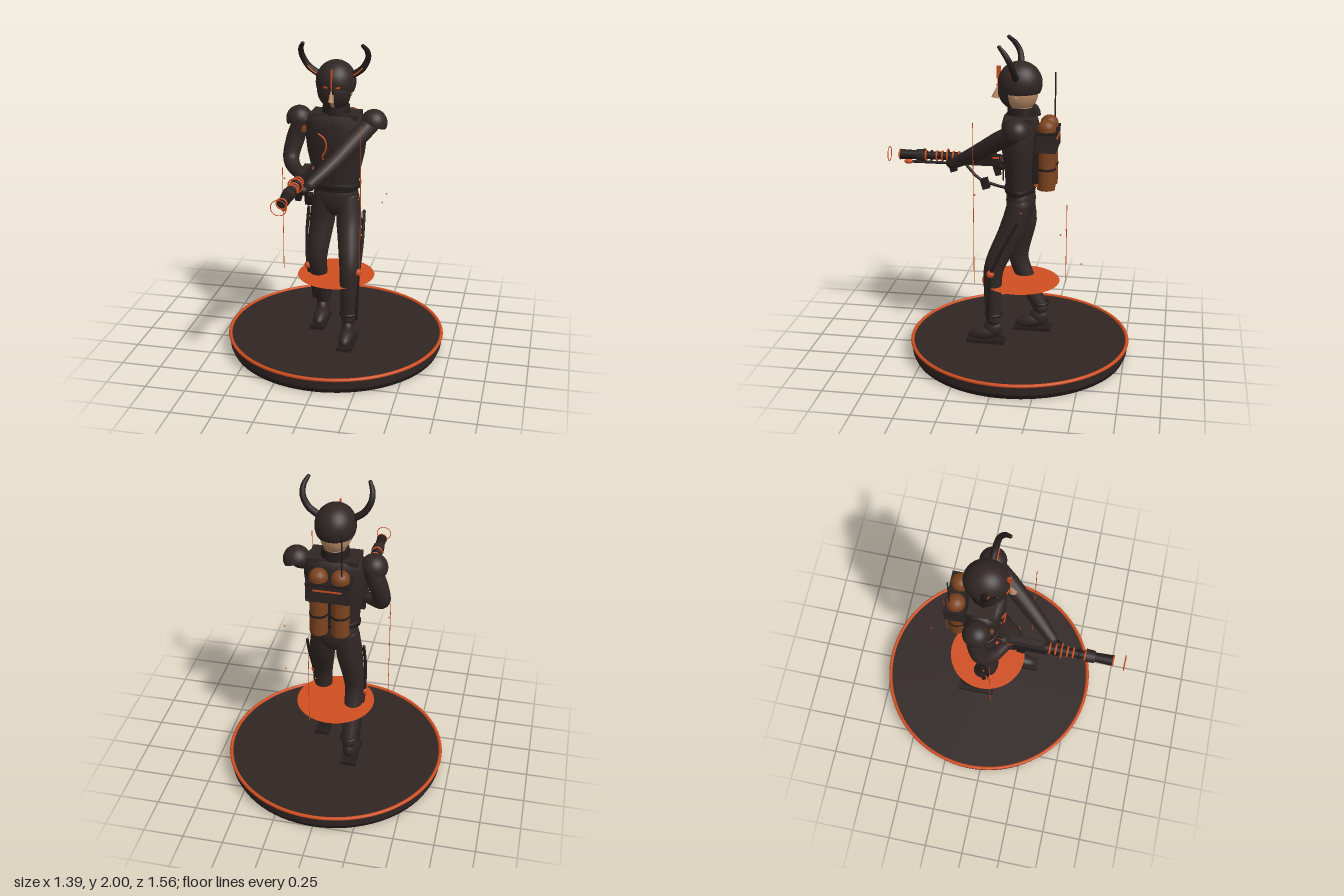
import * as THREE from 'three';

const mat = (name, color, side = THREE.FrontSide) => {
  const m = new THREE.MeshStandardMaterial({ color, side });
  m.name = name;
  return m;
};

export function createModel() {
  const dark = mat('charcoal suit', 0x302624);
  const metal = mat('black metal', 0x241d1c);
  const orange = mat('ember orange', 0xd04e20, THREE.DoubleSide);
  const brown = mat('tank copper', 0x7c431f);
  const skin = mat('skin', 0xba8a66);
  const darkShell = mat('charcoal shell', 0x302624, THREE.DoubleSide);
  const root = new THREE.Group();
  root.name = 'armouredTrooper';

  const V = (p) => new THREE.Vector3(p[0], p[1], p[2]);
  const add = (name, geo, m, p = [0, 0, 0], r = [0, 0, 0], s = [1, 1, 1], parent = root) => {
    const mesh = new THREE.Mesh(geo, m);
    mesh.name = name;
    mesh.position.set(...p);
    mesh.rotation.set(...r);
    mesh.scale.set(...s);
    parent.add(mesh);
    return mesh;
  };
  const box = (name, m, size, p, r, parent) => add(name, new THREE.BoxGeometry(...size), m, p, r, [1, 1, 1], parent);
  const ball = (name, m, s, p, r, parent) => add(name, new THREE.SphereGeometry(1, 24, 16), m, p, r, s, parent);
  // Cylinder along z, from z0 (radius r0) to z1 (radius r1)
  const barrel = (name, m, z0, z1, r0, r1, parent, y = 0, x = 0) =>
    add(name, new THREE.CylinderGeometry(r1, r0, z1 - z0, 20), m, [x, y, (z0 + z1) / 2], [Math.PI / 2, 0, 0], [1, 1, 1], parent);
  // Smooth limb through points [x, y, z, radius], closed with round ends
  const limb = (name, m, pts, segs = 28, sides = 16) => {
    const g = new THREE.Group();
    g.name = name;
    const curve = new THREE.CatmullRomCurve3(pts.map(V));
    const geo = new THREE.TubeGeometry(curve, segs, 1, sides, false);
    const pos = geo.attributes.position, v = new THREE.Vector3();
    for (let i = 0; i <= segs; i++) {
      const c = curve.getPointAt(i / segs);
      const k = curve.getUtoTmapping(i / segs) * (pts.length - 1);
      const a = Math.min(Math.floor(k), pts.length - 2);
      const rad = THREE.MathUtils.lerp(pts[a][3], pts[a + 1][3], k - a);
      for (let j = 0; j <= sides; j++) {
        const n = i * (sides + 1) + j;
        v.fromBufferAttribute(pos, n).sub(c).multiplyScalar(rad).add(c);
        pos.setXYZ(n, v.x, v.y, v.z);
      }
    }
    add(name + 'Sleeve', geo, m, [0, 0, 0], [0, 0, 0], [1, 1, 1], g);
    for (const p of [pts[0], pts[pts.length - 1]])
      add(name + 'End', new THREE.SphereGeometry(p[3], 14, 10), m, p.slice(0, 3), [0, 0, 0], [1, 1, 1], g);
    root.add(g);
    return g;
  };
  const lathe = (name, m, prof, p, s) =>
    add(name, new THREE.LatheGeometry(prof.map((q) => new THREE.Vector2(...q)), 48), m, p, [0, 0, 0], s);

  // Display base with glowing rim, and the floating disc
  add('base', new THREE.CylinderGeometry(0.69, 0.685, 0.06, 80), dark, [0, 0.06, -0.08]);
  add('baseFoot', new THREE.CylinderGeometry(0.685, 0.672, 0.03, 80), metal, [0, 0.015, -0.08]);
  add('baseRim', new THREE.TorusGeometry(0.685, 0.011, 10, 96), orange, [0, 0.091, -0.08], [Math.PI / 2, 0, 0]);
  add('glowDisc', new THREE.CircleGeometry(0.245, 48), orange, [0, 0.48, -0.085], [-Math.PI / 2, 0, 0]);

  // Legs: the left strides forward
  const legs = [
    { s: 1, name: 'left', foot: 0, knee: 0.575,
      path: [[1.0, -0.085, 0.075, 0.075], [0.86, -0.05, 0.09, 0.082], [0.6, 0.065, 0.115, 0.062], [0.45, 0.075, 0.115, 0.056], [0.25, 0.07, 0.112, 0.048]] },
    { s: -1, name: 'right', foot: -0.265, knee: 0.545,
      path: [[1.0, -0.085, 0.075, 0.075], [0.86, -0.09, 0.09, 0.082], [0.6, -0.055, 0.115, 0.062], [0.45, -0.105, 0.115, 0.056], [0.25, -0.2, 0.112, 0.048]] },
  ];
  for (const { s, name, foot, knee, path } of legs) {
    limb(name + 'Leg', dark, path.map(([y, z, x, r]) => [s * x, y, z, r]));
    const kz = path[2][1] + 0.015, az = path[4][1];
    limb(name + 'ThighRod', metal, [[s * 0.178, 0.92, -0.09, 0.01], [s * 0.185, 0.75, (kz - 0.08) / 2, 0.01], [s * 0.178, knee, kz, 0.01]], 12, 8);
    limb(name + 'ShinRod', metal, [[s * 0.178, knee, kz, 0.01], [s * 0.172, 0.42, (kz + az) / 2 + 0.01, 0.01], [s * 0.168, 0.26, az + 0.02, 0.01]], 12, 8);
    ball(name + 'KneeJoint', orange, [0.022, 0.024, 0.024], [s * 0.174, knee, kz]);
    add(name + 'AnkleCuff', new THREE.TorusGeometry(0.049, 0.01, 8, 28), metal, [s * 0.112, 0.285, az], [Math.PI / 2, 0, 0]);
    // Boot
    ball(name + 'BootAnkle', dark, [0.042, 0.062, 0.06], [s * 0.112, 0.185, 0.075 + foot]);
    ball(name + 'BootToe', dark, [0.046, 0.045, 0.105], [s * 0.112, 0.153, 0.125 + foot], [0.2, 0, 0]);
    box(name + 'Sole', metal, [0.095, 0.022, 0.24], [s * 0.117, 0.107, 0.12 + foot]);
  }

  // Torso
  ball('hips', dark, [0.143, 0.14, 0.09], [0, 1.02, -0.085]);
  lathe('torso', dark, [[0, 1.04], [0.13, 1.045], [0.145, 1.1], [0.155, 1.2], [0.178, 1.3], [0.19, 1.4], [0.188, 1.49], [0.165, 1.545], [0, 1.553]], [0, 0, -0.08], [1, 1, 0.6]);
  lathe('belt', metal, [[0.135, 1.075], [0.153, 1.08], [0.156, 1.105], [0.145, 1.11]], [0, 0, -0.08], [1, 1, 0.61]);
  box('shoulderYoke', dark, [0.3, 0.03, 0.16], [0, 1.54, -0.085]);
  add('collar', new THREE.CylinderGeometry(0.082, 0.092, 0.1, 32), metal, [0, 1.55, -0.085]);
  box('chestSeam', metal, [0.008, 0.38, 0.008], [0, 1.32, 0.027]);
  limb('chestHose', orange, [[-0.085, 1.44, 0.03, 0.005], [-0.045, 1.41, 0.04, 0.005], [-0.035, 1.36, 0.04, 0.005], [-0.06, 1.3, 0.035, 0.005]], 16, 8);
  for (const x of [-0.06, 0.03, 0.07]) box('chestLamp', orange, [0.014, 0.008, 0.008], [x, 1.28, 0.018]);

  // Arms and dome shoulder pads
  limb('leftArm', dark, [[0.215, 1.49, -0.08, 0.055], [0.145, 1.42, 0.03, 0.057], [0.03, 1.3, 0.2, 0.048], [-0.07, 1.215, 0.33, 0.036]]);
  limb('rightArm', dark, [[-0.215, 1.49, -0.09, 0.055], [-0.258, 1.37, -0.085, 0.058], [-0.278, 1.25, -0.05, 0.05], [-0.235, 1.2, 0.01, 0.043], [-0.165, 1.185, 0.06, 0.034]]);
  ball('leftHand', metal, [0.036, 0.032, 0.045], [-0.1, 1.195, 0.36]);
  ball('rightHand', metal, [0.034, 0.036, 0.04], [-0.15, 1.185, 0.075]);
  for (const s of [-1, 1]) {
    add('shoulderPad', new THREE.SphereGeometry(0.082, 32, 14, 0, Math.PI * 2, 0, Math.PI / 2), darkShell, [s * 0.232, 1.497, -0.09], [0, 0, -s * 0.42]);
    box('shoulderTag', brown, [0.02, 0.03, 0.06], [s * 0.187, 1.45, -0.03]);
  }

  // Head: skin under a helmet with a faceplate split at the nose
  ball('head', skin, [0.096, 0.125, 0.112], [0, 1.695, -0.075]);
  add('neck', new THREE.CylinderGeometry(0.06, 0.065, 0.12, 24), skin, [0, 1.6, -0.09]);
  add('helmet', new THREE.SphereGeometry(1, 40, 24, 0, Math.PI * 2, 0, Math.PI * 0.64), darkShell, [0, 1.745, -0.077], [0, 0, 0], [0.122, 0.131, 0.134]);
  for (const s of [-1, 1]) {
    // phi of PI / 2 points forward
    const start = s > 0 ? Math.PI / 2 + 0.13 : Math.PI / 2 - 1.13;
    add('cheekGuard', new THREE.SphereGeometry(1, 14, 18, start, 1.0, Math.PI * 0.3, Math.PI * 0.58), darkShell, [0, 1.7, -0.077], [0, 0, 0], [0.115, 0.125, 0.134]);
    box('eye', orange, [0.028, 0.009, 0.008], [s * 0.038, 1.735, 0.053], [0, s * 0.3, 0]);
    add('ear', new THREE.TorusGeometry(0.02, 0.005, 8, 18), skin, [s * 0.094, 1.685, -0.075], [0, Math.PI / 2, 0]);
    limb('horn', metal, [[s * 0.105, 1.79, -0.065, 0.021], [s * 0.165, 1.835, -0.06, 0.02], [s * 0.2, 1.9, -0.045, 0.018], [s * 0.2, 1.95, -0.015, 0.016], [s * 0.18, 1.987, 0.02, 0.011]], 24, 12);
    limb('hornStripe', orange, [[s * 0.115, 1.795, -0.043, 0.005], [s * 0.14, 1.812, -0.041, 0.005], [s * 0.167, 1.838, -0.039, 0.004]], 8, 8);
  }
  add('nose', new THREE.ConeGeometry(0.018, 0.08, 12), skin, [0, 1.69, 0.066], [-0.2, 0, 0], [1, 1, 1.3]);
  box('crest', orange, [0.008, 0.075, 0.026], [0, 1.805, 0.053]);
  box('crestLine', orange, [0.007, 0.05, 0.008], [0, 1.755, 0.056]);

  // Backpack with two tanks and an aerial
  box('packFrame', metal, [0.2, 0.3, 0.04], [0, 1.3, -0.185]);
  box('pack', dark, [0.26, 0.12, 0.12], [0, 1.41, -0.248]);
  box('packLid', metal, [0.265, 0.015, 0.125], [0, 1.465, -0.248]);
  box('packStripe', orange, [0.17, 0.009, 0.006], [0, 1.43, -0.31]);
  for (const s of [-1, 1]) {
    add('tank', new THREE.CylinderGeometry(0.055, 0.055, 0.38, 28), brown, [s * 0.065, 1.3, -0.248]);
    ball('tankTop', brown, [0.055, 0.05, 0.055], [s * 0.065, 1.49, -0.248]);
    add('tankBand', new THREE.CylinderGeometry(0.057, 0.057, 0.015, 28), metal, [s * 0.065, 1.24, -0.248]);
    box('packClip', orange, [0.02, 0.02, 0.02], [s * 0.09, 1.14, -0.19]);
  }
  add('aerial', new THREE.CylinderGeometry(0.004, 0.005, 0.36, 8), metal, [-0.08, 1.62, -0.28]);

  // Flame gun, pointing forward
  const gun = new THREE.Group();
  gun.name = 'gun';
  gun.position.set(-0.138, 1.23, 0);
  root.add(gun);
  box('receiver', metal, [0.06, 0.065, 0.25], [0, -0.012, 0.19], [0, 0, 0], gun);
  box('receiverTop', dark, [0.035, 0.02, 0.2], [0, 0.028, 0.19], [0, 0, 0], gun);
  barrel('stock', dark, 0.04, 0.1, 0.032, 0.03, gun, -0.01);
  barrel('barrel', metal, 0.3, 0.58, 0.027, 0.024, gun);
  for (let i = 0; i < 7; i++) {
    add('heatRib', new THREE.TorusGeometry(0.029, 0.006, 8, 24), i % 3 === 2 ? metal : orange, [0, 0, 0.33 + i * 0.035], [0, 0, 0], [1, 1, 1], gun);
  }
  barrel('muzzleCollar', dark, 0.545, 0.6, 0.04, 0.036, gun);
  barrel('muzzle', metal, 0.6, 0.71, 0.028, 0.032, gun);
  add('muzzleRing', new THREE.TorusGeometry(0.03, 0.005, 8, 28), orange, [0, 0, 0.708], [0, 0, 0], [1, 1, 1], gun);
  add('sightRing', new THREE.TorusGeometry(0.043, 0.005, 8, 28), orange, [0, 0, 0.4], [0, 0, 0], [1, 1, 1], gun);
  ball('pilotBulb', orange, [0.016, 0.016, 0.03], [0, -0.045, 0.655], [0, 0, 0], gun);
  barrel('pilotPipe', metal, 0.36, 0.64, 0.009, 0.009, gun, -0.045);
  add('heatHalo', new THREE.TorusGeometry(0.045, 0.0025, 6, 40), orange, [0, 0, 0.778], [0, 0, 0], [1, 1, 1], gun);
  box('foreGrip', metal, [0.035, 0.07, 0.04], [0.01, -0.06, 0.37], [0.3, 0, 0], gun);
  box('rearGrip', metal, [0.03, 0.08, 0.035], [0, -0.07, 0.09], [0.3, 0, 0], gun);
  box('gunLamp', orange, [0.064, 0.012, 0.04], [0, 0.01, 0.09], [0, 0, 0], gun);

  // Fuel hose from gun to belt, with valve block
  limb('fuelHose', metal, [[-0.13, 1.19, 0.29, 0.009], [-0.12, 1.1, 0.2, 0.009], [-0.11, 1.065, 0.1, 0.009], [-0.09, 1.05, 0, 0.009]], 24, 10);
  box('valveBlock', metal, [0.045, 0.065, 0.045], [-0.115, 1.07, 0.16], [0.3, 0, 0]);

  // Hanging filaments: x, z, bottom, top
  for (const [x, z, y0, y1] of [[-0.322, 0, 0.525, 1.2], [0.203, 0.175, 0.525, 1.54], [0.1, -0.38, 0.52, 1.025]]) {
    add('filament', new THREE.CylinderGeometry(0.002, 0.002, y1 - y0, 6), orange, [x, (y0 + y1) / 2, z]);
  }
  // Drifting embers
  for (const p of [[0.245, 0.885, -0.36], [0.05, 0.63, -0.47], [0.31, 1.03, -0.13], [0.06, 0.85, -0.375], [0.19, 1.09, 0.17], [-0.32, 1.12, -0.035]]) {
    add('ember', new THREE.OctahedronGeometry(0.007), orange, p);
  }
  return root;
}
